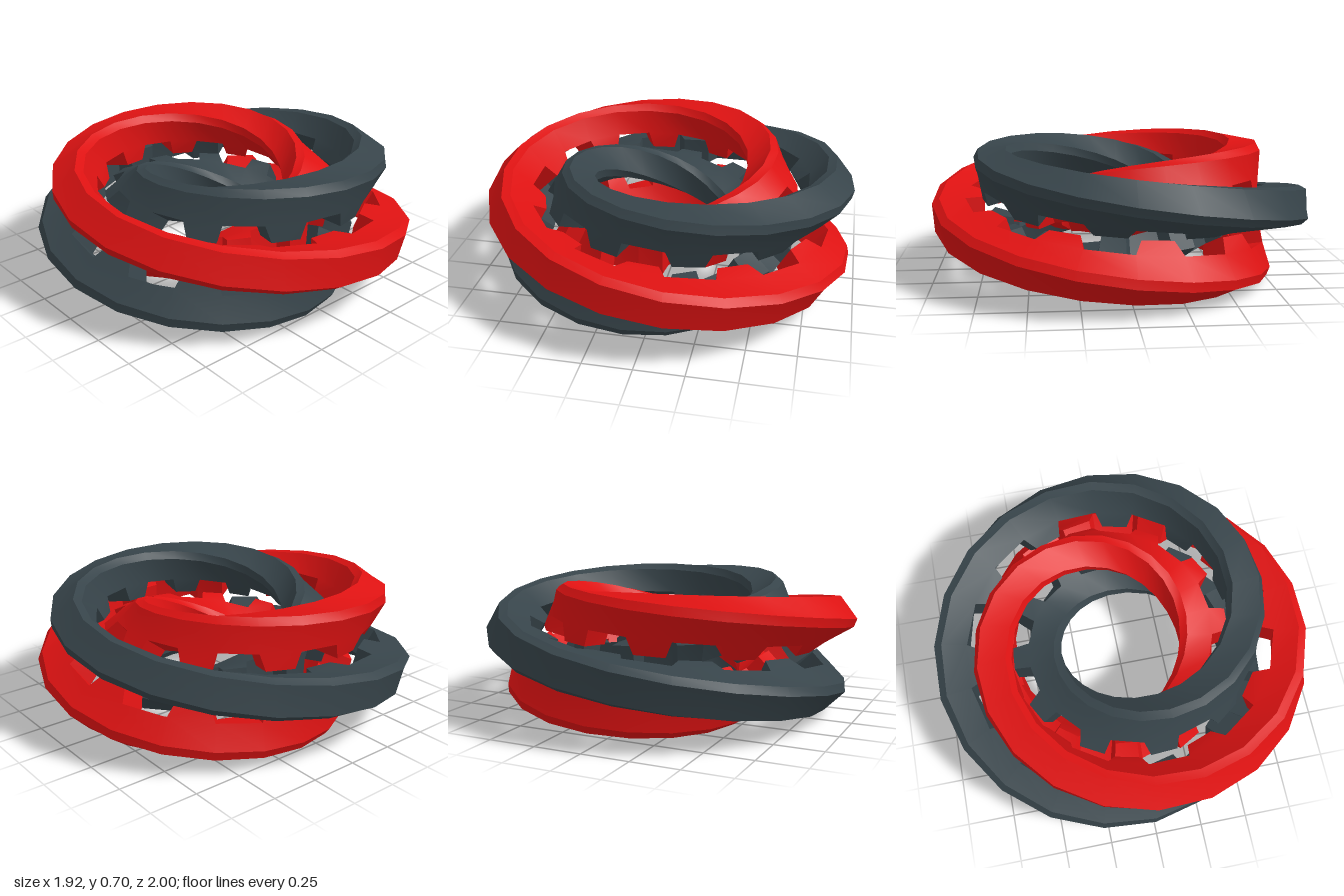
import * as THREE from 'three';
import { toCreasedNormals } from 'three/addons/utils/BufferGeometryUtils.js';

const RING = 0.667;      // radius of the circle the strands wind around
const HEIGHT = 0.345;    // height of that circle
const SEGMENTS = 44;     // steps along a strand, which closes after two turns
const STEP = (4 * Math.PI) / SEGMENTS;

// Strand cross-section: [distance from the winding circle, sideways offset]
const PROFILE = [
  [0.34, -0.075], [0.34, 0.075], [0.3, 0.1],
  [0.165, 0.085], [0.165, -0.085], [0.3, -0.1],
];
const FLOOR = 3;         // profile edge that carries the teeth
const TIP = [0.08, 0.076];
const TIP_INSET = 0.14;

// Point on a strand: k counts steps, one half twist per turn
function strandPoint(k, depth, side) {
  const turn = (k - 0.5) * STEP;
  const twist = turn / 2;
  const r = RING + depth * Math.cos(twist) - side * Math.sin(twist);
  const y = HEIGHT + depth * Math.sin(twist) + side * Math.cos(twist);
  return [-Math.sin(turn) * r, y, Math.cos(turn) * r];
}

function strandGeometry() {
  const positions = [];
  const quad = (a, b, c, d) => positions.push(...a, ...b, ...c, ...a, ...c, ...d);

  for (let k = 0; k < SEGMENTS; k++) {
    PROFILE.forEach((p, i) => {
      const q = PROFILE[(i + 1) % PROFILE.length];
      const base = [
        strandPoint(k, ...p), strandPoint(k, ...q),
        strandPoint(k + 1, ...q), strandPoint(k + 1, ...p),
      ];
      if (i !== FLOOR || k % 2 === 1) {
        quad(...base);
        return;
      }
      // Tapered tooth on every other step of the inner face
      const [depth, side] = TIP;
      const near = k + TIP_INSET;
      const far = k + 1 - TIP_INSET;
      const tip = [
        strandPoint(near, depth, side), strandPoint(near, depth, -side),
        strandPoint(far, depth, -side), strandPoint(far, depth, side),
      ];
      for (let j = 0; j < 4; j++) {
        const n = (j + 1) % 4;
        quad(base[j], base[n], tip[n], tip[j]);
      }
      quad(...tip);
    });
  }

  const geometry = new THREE.BufferGeometry();
  geometry.setAttribute('position', new THREE.Float32BufferAttribute(positions, 3));
  return toCreasedNormals(geometry, 0.5);
}

export function createModel() {
  const model = new THREE.Group();
  model.name = 'twistedGearRings';
  const geometry = strandGeometry();

  // Two identical interlocking strands, half a turn apart
  [['redToothedStrand', 0xdd1212, 0], ['greyToothedStrand', 0x37444a, Math.PI]].forEach(([name, color, angle]) => {
    const strand = new THREE.Mesh(geometry, new THREE.MeshStandardMaterial({ color }));
    strand.name = name;
    strand.rotation.y = angle;
    model.add(strand);
  });
  return model;
}
